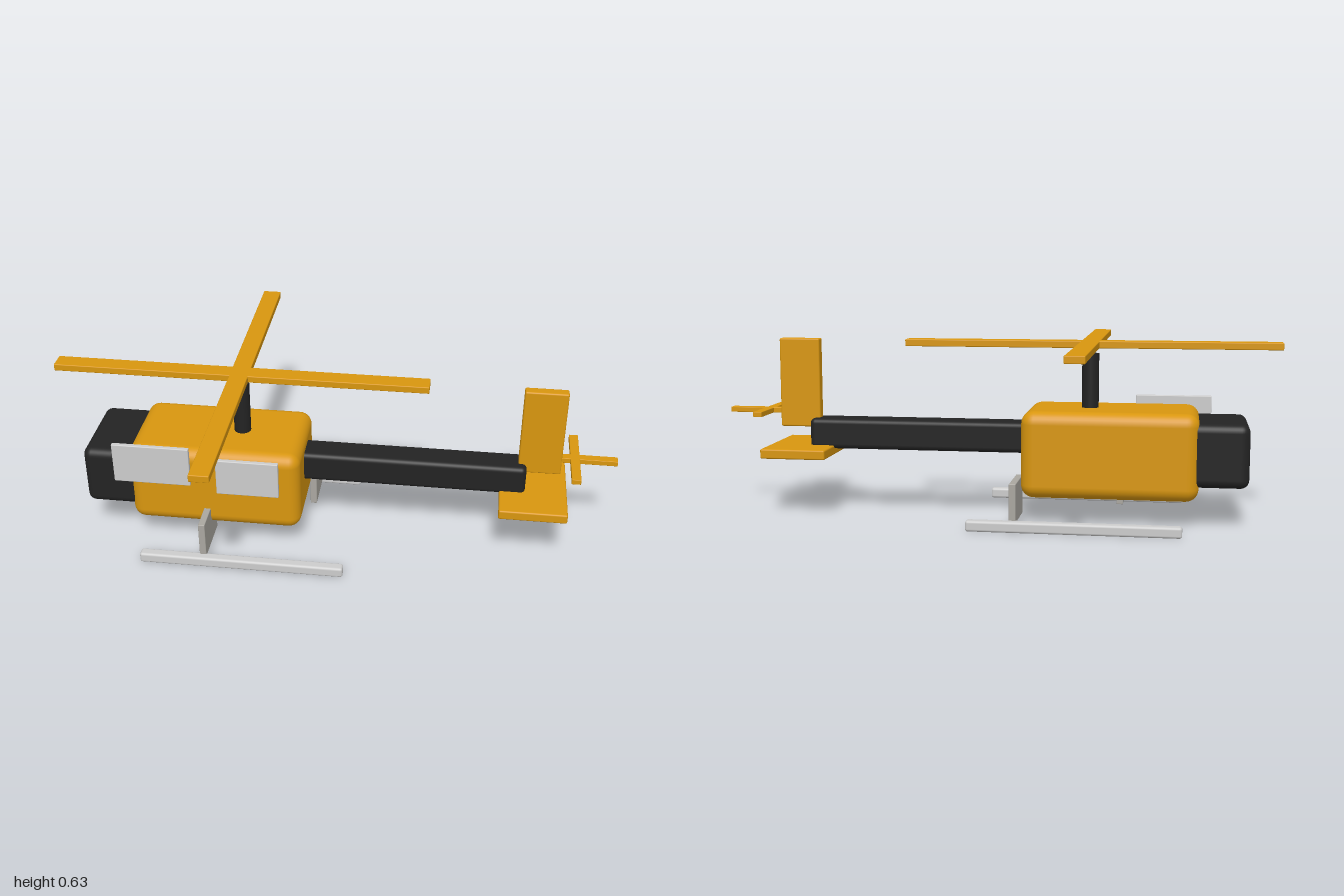
import * as THREE from 'three';
import { RoundedBoxGeometry } from 'three/addons/geometries/RoundedBoxGeometry.js';

function material(name, color) {
  const m = new THREE.MeshStandardMaterial({ color });
  m.name = name;
  return m;
}

export function createModel() {
  const model = new THREE.Group();
  model.name = 'helicopter';
  const orange = material('orange paint', 0xd8960f);
  const black = material('black', 0x232323);
  const silver = material('light grey', 0xcccccc);
  const grey = material('warm grey', 0xaaa7a0);

  // Rounded box given by its extents on each axis
  function box(name, mat, [x0, x1], [y0, y1], [z0, z1], radius) {
    const geometry = new RoundedBoxGeometry(x1 - x0, y1 - y0, z1 - z0, 4, radius);
    const mesh = new THREE.Mesh(geometry, mat);
    mesh.position.set((x0 + x1) / 2, (y0 + y1) / 2, (z0 + z1) / 2);
    mesh.name = name;
    model.add(mesh);
    return mesh;
  }

  // Two crossed flat blades around a centre
  function rotor(name, x, [y0, y1], reach, halfWidth, radius) {
    box(name + 'LongBlade', orange, [x - reach, x + reach], [y0, y1], [-halfWidth, halfWidth], radius);
    box(name + 'CrossBlade', orange, [x - halfWidth, x + halfWidth], [y0, y1], [-reach, reach], radius);
  }

  // Fuselage
  box('cabin', orange, [-0.72, -0.105], [0.095, 0.4], [-0.18, 0.18], 0.045);
  box('nose', black, [-0.89, -0.6], [0.145, 0.367], [-0.162, 0.162], 0.03);
  box('frontWindow', silver, [-0.765, -0.49], [0.275, 0.425], [0.186, 0.203], 0.003);
  box('rearWindow', silver, [-0.397, -0.175], [0.25, 0.388], [0.186, 0.203], 0.003);

  // Tail
  box('tailBoom', black, [-0.15, 0.685], [0.235, 0.345], [-0.056, 0.056], 0.018);
  box('tailFin', orange, [0.655, 0.805], [0.31, 0.635], [-0.019, 0.019], 0.006);
  box('stabilizer', orange, [0.595, 0.833], [0.213, 0.248], [-0.18, 0.18], 0.006);
  rotor('tailRotor', 0.85, [0.359, 0.378], 0.148, 0.016, 0.002);

  // Mast and main rotor
  const mast = new THREE.Mesh(new THREE.CylinderGeometry(0.03, 0.03, 0.22, 32), black);
  mast.position.set(-0.335, 0.482, 0);
  mast.name = 'mast';
  model.add(mast);
  rotor('mainRotor', -0.335, [0.612, 0.637], 0.665, 0.033, 0.003);

  // Landing gear, with one staggered strut on each side
  for (const [side, z, strutX] of [['left', 1, -0.44], ['right', -1, -0.094]]) {
    box(side + 'Skid', silver, [-0.667, 0.065], [0.003, 0.041],
      [z * 0.293 - 0.019, z * 0.293 + 0.019], 0.009);
    box(side + 'Strut', grey, [strutX - 0.012, strutX + 0.012], [0.03, 0.167],
      [z * 0.19 - 0.095, z * 0.19 + 0.095], 0.003);
  }

  return model;
}
